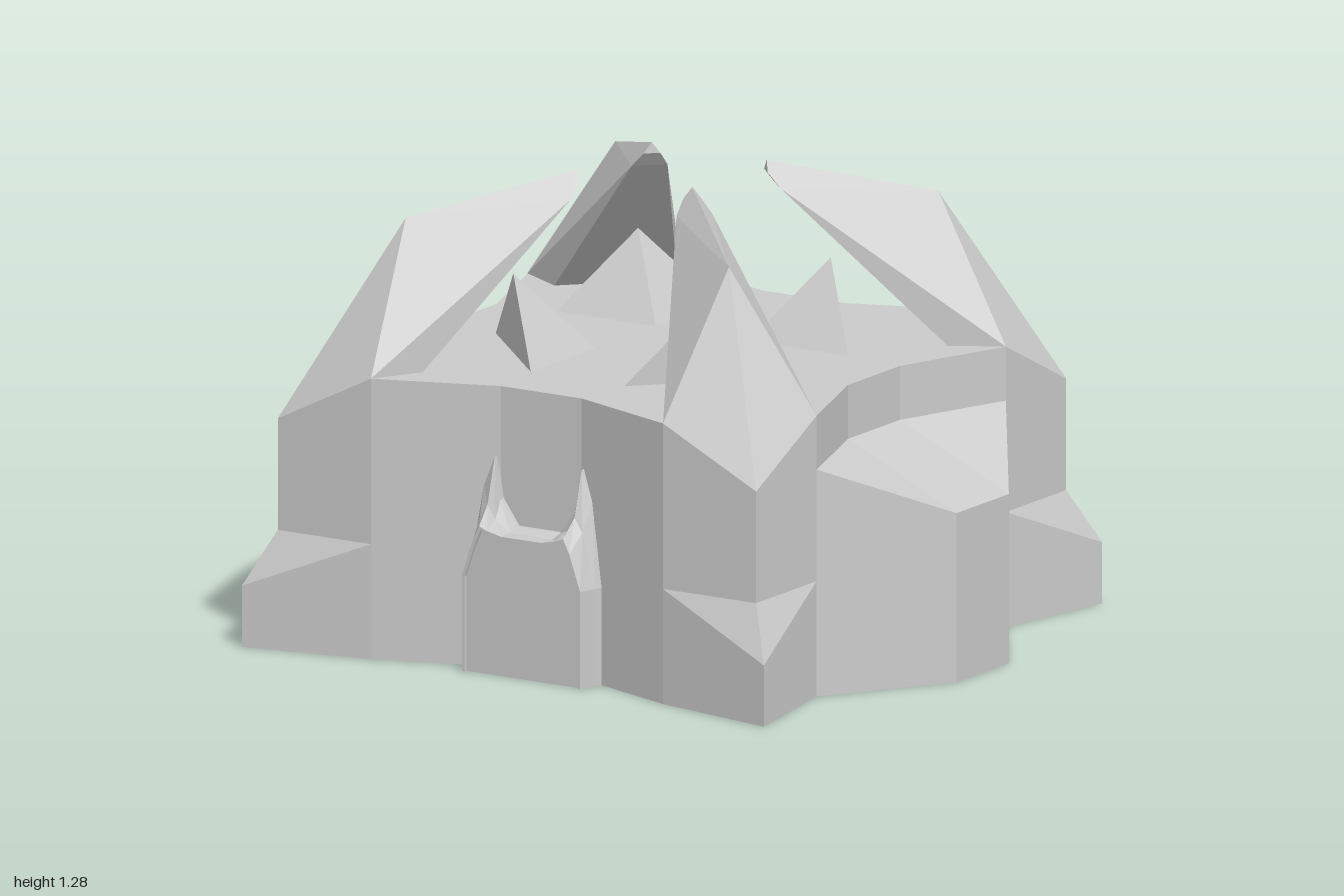
import * as THREE from 'three';
import { ConvexGeometry } from 'three/addons/geometries/ConvexGeometry.js';

const material = new THREE.MeshStandardMaterial({ color: 0xcccccc, flatShading: true });
const openMaterial = new THREE.MeshStandardMaterial({ color: 0xcccccc, flatShading: true, side: THREE.DoubleSide });
const ROOF = 0.78;

function addMesh(parent, name, geometry, mat = material) {
  const mesh = new THREE.Mesh(geometry, mat);
  mesh.name = name;
  parent.add(mesh);
  return mesh;
}

// Faceted solid spanned by a few corners, mirrored by sx and sz
function solid(parent, name, points, sx = 1, sz = 1) {
  const corners = points.map(([x, y, z]) => new THREE.Vector3(x * sx, y, z * sz));
  return addMesh(parent, name, new ConvexGeometry(corners));
}

// Central hall with four pinched-in walls and a flat roof
function addHall(group) {
  const quarter = [[0.77, 0.47], [0.47, 0.77], [0.13, 0.65]];
  const outline = [[0.65, 0.13], ...quarter];
  const half = [...outline, ...outline.map(([x, z]) => [-x, z]).reverse()];
  const full = [...half, ...half.map(([x, z]) => [x, -z]).reverse()];
  const shape = new THREE.Shape(full.map(([x, z]) => new THREE.Vector2(x, z)));
  const geometry = new THREE.ExtrudeGeometry(shape, { depth: ROOF, bevelEnabled: false });
  geometry.rotateX(-Math.PI / 2);
  addMesh(group, 'hall', geometry);
}

// Corner tower: flared skirt, straight shaft and an inward curving horn
function addTower(group, sx, sz) {
  const tower = new THREE.Group();
  tower.name = 'cornerTower';
  group.add(tower);

  const levels = [[0, 0.84], [0.17, 0.84], [0.32, 0.77], [0.63, 0.77]];
  const ring = ([y, c]) => [[c, y, c], [0.77, y, 0.47], [0.47, y, 0.47], [0.47, y, 0.77]];
  ['towerFoot', 'towerSkirt', 'towerShaft'].forEach((name, i) =>
    solid(tower, name, [...ring(levels[i]), ...ring(levels[i + 1])], sx, sz));

  solid(tower, 'horn', [
    [0.77, 0.63, 0.77], [0.47, 0.63, 0.77], [0.77, 0.63, 0.47],
    [0.47, ROOF, 0.77], [0.77, ROOF, 0.47],
    [0.52, 1.17, 0.52], [0.185, 1.28, 0.185],
    [0.167, 1.25, 0.2], [0.2, 1.25, 0.167],
    [0.17, 1.21, 0.24], [0.24, 1.21, 0.17],
  ], sx, sz);

  // Triangular brace on the roof beneath the horn
  solid(tower, 'roofBrace', [
    [0.15, ROOF, 0.15], [0.15, ROOF, 0.47], [0.47, ROOF, 0.15], [0.31, 1.0, 0.31],
  ], sx, sz);
}

// Lower side wing with a lean-to roof
function addWing(group, sx) {
  const wing = new THREE.Group();
  wing.name = 'sideWing';
  group.add(wing);
  const column = (x, z, top) => [[x, 0, z], [x, top, z]];
  solid(wing, 'wingCentre', [
    ...column(1, 0.13, 0.47), ...column(1, -0.13, 0.47),
    ...column(0.65, 0.13, 0.63), ...column(0.65, -0.13, 0.63),
  ], sx);
  for (const sz of [1, -1]) {
    solid(wing, 'wingFlank', [
      ...column(1, 0.13, 0.47), ...column(0.77, 0.47, 0.63), ...column(0.65, 0.13, 0.63),
    ], sx, sz);
  }
}

// Doorway: rings of half outlines lofted from the wall to the door panel
function addDoor(group) {
  const door = new THREE.Group();
  door.name = 'doorway';
  group.add(door);
  const rings = [
    { z: 0.62, p: [[0.22, 0], [0.22, 0.27], [0.175, 0.5], [0.14, 0.59], [0.12, 0.47], [0.07, 0.4]] },
    { z: 0.665, p: [[0.22, 0], [0.22, 0.27], [0.175, 0.5], [0.14, 0.585], [0.12, 0.47], [0.07, 0.4]] },
    { z: 0.7, p: [[0.205, 0], [0.205, 0.27], [0.165, 0.42], [0.14, 0.46], [0.115, 0.42], [0.07, 0.39]] },
    { z: 0.75, p: [[0.19, 0], [0.19, 0.27], [0.155, 0.37], [0.135, 0.41], [0.11, 0.4], [0.065, 0.39]] },
    { z: 0.75, p: [[0.182, 0], [0.182, 0.265], [0.148, 0.36], [0.13, 0.4], [0.108, 0.39], [0.063, 0.38]] },
    { z: 0.74, p: [[0.182, 0], [0.182, 0.265], [0.148, 0.36], [0.13, 0.4], [0.108, 0.39], [0.063, 0.38]] },
  ].map(({ z, p }) => [...p, ...p.map(([x, y]) => [-x, y]).reverse()].map(([x, y]) => [x, y, z]));

  const positions = [];
  for (let i = 0; i < rings.length - 1; i++) {
    for (let j = 0; j < rings[i].length - 1; j++) {
      const a = rings[i][j], b = rings[i][j + 1];
      const c = rings[i + 1][j + 1], d = rings[i + 1][j];
      positions.push(...a, ...b, ...d, ...b, ...c, ...d);
    }
  }
  const frame = new THREE.BufferGeometry();
  frame.setAttribute('position', new THREE.Float32BufferAttribute(positions, 3));
  frame.computeVertexNormals();
  addMesh(door, 'doorFrame', frame, openMaterial);

  const last = rings[rings.length - 1];
  const panel = new THREE.ShapeGeometry(new THREE.Shape(last.map(([x, y]) => new THREE.Vector2(x, y))));
  panel.translate(0, 0, last[0][2]);
  addMesh(door, 'doorPanel', panel, openMaterial);
}

export function createModel() {
  const group = new THREE.Group();
  group.name = 'hornedHall';
  addHall(group);
  for (const sx of [1, -1]) {
    addWing(group, sx);
    for (const sz of [1, -1]) addTower(group, sx, sz);
  }
  addDoor(group);
  return group;
}
